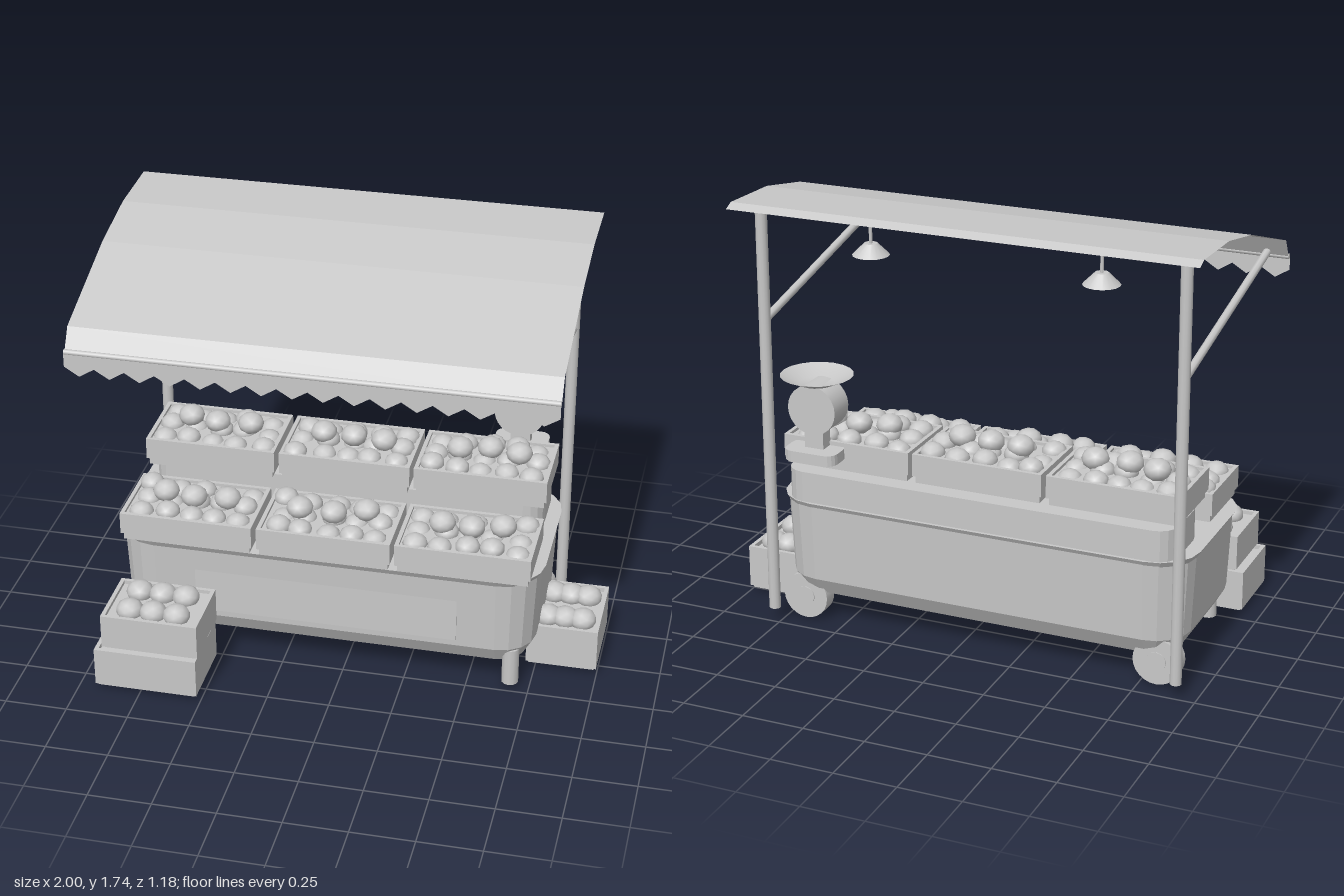
import * as THREE from 'three';
import { ConvexGeometry } from 'three/addons/geometries/ConvexGeometry.js';

const grey = new THREE.MeshStandardMaterial({ color: 0xc8c8c8, side: THREE.DoubleSide });
grey.name = 'plain grey';

// Small seeded generator for the fruit piles
let seed = 7;
const jitter = (a) => {
  seed = (seed * 16807) % 2147483647;
  return (seed / 2147483647 - 0.5) * 2 * a;
};

function add(parent, name, geometry, x = 0, y = 0, z = 0) {
  const mesh = new THREE.Mesh(geometry, grey);
  mesh.name = name;
  mesh.position.set(x, y, z);
  parent.add(mesh);
  return mesh;
}

const box = (parent, name, w, h, d, x, y, z) => add(parent, name, new THREE.BoxGeometry(w, h, d), x, y, z);

function rod(parent, name, a, b, r, sides = 12) {
  const from = new THREE.Vector3(...a), to = new THREE.Vector3(...b);
  const dir = to.clone().sub(from);
  const mesh = add(parent, name, new THREE.CylinderGeometry(r, r, dir.length(), sides));
  mesh.position.copy(from).lerp(to, 0.5);
  mesh.quaternion.setFromUnitVectors(new THREE.Vector3(0, 1, 0), dir.normalize());
  return mesh;
}

// Convex block with rounded corners; levels are [y, inset]
function roundedBlock(x0, x1, z0, z1, radius, levels) {
  const points = [];
  for (const [y, inset] of levels) {
    for (const sx of [0, 1]) for (const sz of [0, 1]) {
      const cx = sx ? x1 - radius : x0 + radius, cz = sz ? z1 - radius : z0 + radius;
      for (let i = 0; i <= 4; i++) {
        const a = (i / 4) * Math.PI / 2, r = radius - inset;
        points.push(new THREE.Vector3(cx + (sx ? 1 : -1) * r * Math.cos(a), y, cz + (sz ? 1 : -1) * r * Math.sin(a)));
      }
    }
  }
  return new ConvexGeometry(points);
}

const fruitGeometry = new THREE.IcosahedronGeometry(1, 1);
function fruit(parent, x, y, z, r) {
  const mesh = add(parent, 'fruit', fruitGeometry, x, y, z);
  mesh.scale.set(r, r * 0.82, r);
  mesh.rotation.y = jitter(3);
}

// Open crate with a raised rim and a fill layer; origin at the bottom centre
function crate(parent, name, w, h, d, x, y, z, lower) {
  const g = new THREE.Group();
  g.name = name;
  g.position.set(x, y, z);
  parent.add(g);
  const t = 0.016, wallY = h * (1 + lower) / 2, wallH = h * (1 - lower);
  box(g, 'crateBase', w - 0.02, h * lower, d - 0.02, 0, h * lower / 2, 0);
  for (const s of [-1, 1]) {
    box(g, 'crateLongWall', w, wallH, t, 0, wallY, s * (d - t) / 2);
    box(g, 'crateEndWall', t, wallH, d - 2 * t, s * (w - t) / 2, wallY, 0);
  }
  box(g, 'crateFill', w - 2 * t, h * 0.6, d - 2 * t, 0, h * 0.6, 0);
  return g;
}

function displayCrate(parent, x, y, z) {
  const g = crate(parent, 'displayCrate', 0.535, 0.12, 0.325, x, y, z, 0.25);
  for (let i = 0; i < 5; i++) for (let j = 0; j < 3; j++) {
    fruit(g, (i - 2) * 0.1 + jitter(0.012), 0.105 + jitter(0.014), (j - 1) * 0.1 + jitter(0.012), 0.05);
  }
  for (let i = -1; i <= 1; i++) fruit(g, 0.005 + i * 0.122 + jitter(0.01), 0.154, jitter(0.025), 0.054);
}

function storageCrate(parent, w, h, d, x, y, z, spacing, rowOffset) {
  const g = crate(parent, 'storageCrate', w, h, d, x, y, z, 0.06);
  for (let i = -1; i <= 1; i++) for (const s of [-1, 1]) {
    fruit(g, i * spacing, h, s * rowOffset, 0.055);
  }
}

// Sheet swept along x from a [z, y] profile, with flat panels
function sheet(profile, x0, x1) {
  const p = [];
  for (let i = 0; i < profile.length - 1; i++) {
    const [za, ya] = profile[i], [zb, yb] = profile[i + 1];
    p.push(x0, ya, za, x0, yb, zb, x1, yb, zb, x0, ya, za, x1, yb, zb, x1, ya, za);
  }
  const g = new THREE.BufferGeometry();
  g.setAttribute('position', new THREE.Float32BufferAttribute(p, 3));
  g.computeVertexNormals();
  return g;
}

export function createModel() {
  const stall = new THREE.Group();
  stall.name = 'marketStall';

  // Cart tub, flared rim, front panel and stepped shelf
  add(stall, 'cartTub', roundedBlock(-0.925, 0.772, -0.458, 0.27, 0.16,
    [[0.12, 0.055], [0.19, 0.015], [0.51, 0]]));
  add(stall, 'cartRim', roundedBlock(-0.94, 0.785, -0.468, 0.285, 0.17, [[0.497, 0.015], [0.523, 0]]));
  box(stall, 'frontPanel', 1.06, 0.26, 0.008, -0.07, 0.35, 0.261);
  add(stall, 'displayStep', roundedBlock(-0.88, 0.73, -0.455, -0.13, 0.08, [[0.52, 0], [0.648, 0]]));

  // Legs and wheels
  for (const x of [-0.815, 0.672]) {
    rod(stall, 'frontLeg', [x, 0.02, 0.205], [x, 0.18, 0.205], 0.034);
    rod(stall, 'wheel', [x, 0.095, -0.35], [x, 0.095, -0.414], 0.095, 24);
    rod(stall, 'wheelHub', [x, 0.095, -0.346], [x, 0.095, -0.418], 0.04, 12);
  }

  // Fruit crates on display
  for (const x of [-0.625, -0.07, 0.482]) {
    displayCrate(stall, x, 0.523, 0.132);
    displayCrate(stall, x, 0.655, -0.243);
  }

  // Crates on the ground
  crate(stall, 'lowerCrate', 0.415, 0.17, 0.3, -0.722, 0.015, 0.44, 0.06);
  storageCrate(stall, 0.39, 0.15, 0.285, -0.705, 0.187, 0.432, 0.095, 0.068);
  storageCrate(stall, 0.285, 0.185, 0.348, 0.855, 0.015, -0.11, 0.07, 0.086);

  // Posts and sloping struts
  for (const x of [-0.917, 0.776]) {
    rod(stall, 'post', [x, 0.055, -0.48], [x, 1.732, -0.48], 0.023);
    rod(stall, 'canopyStrut', [x, 1.267, -0.465], [x, 1.47, 0.48], 0.016, 8);
  }

  // Canopy sheet, front rail and zigzag valance
  add(stall, 'canopy', sheet([[-0.59, 1.722], [-0.55, 1.74], [-0.27, 1.731], [0, 1.68],
    [0.45, 1.535], [0.5, 1.45]], -1, 0.863));
  rod(stall, 'canopyRail', [-1, 1.455, 0.505], [0.863, 1.455, 0.505], 0.011, 10);
  const valance = new THREE.Shape();
  const teeth = 16, step = 1.863 / teeth;
  valance.moveTo(-1, 1.45);
  valance.lineTo(-1, 1.398);
  for (let i = 0; i < teeth; i++) {
    valance.lineTo(-1 + (i + 0.5) * step, 1.362);
    valance.lineTo(-1 + (i + 1) * step, 1.398);
  }
  valance.lineTo(0.863, 1.45);
  add(stall, 'valance', new THREE.ShapeGeometry(valance), 0, 0, 0.515);

  // Hanging lamps
  for (const x of [-0.535, 0.4]) {
    rod(stall, 'lampRod', [x, 1.56, -0.315], [x, 1.695, -0.315], 0.007, 8);
    add(stall, 'lampShade', new THREE.CylinderGeometry(0.026, 0.072, 0.046, 16), x, 1.547, -0.315);
  }

  // Weighing scale
  const scale = new THREE.Group();
  scale.name = 'weighingScale';
  scale.position.set(0.59, 0, -0.42);
  stall.add(scale);
  add(scale, 'scaleBase', roundedBlock(-0.11, 0.11, -0.1, 0.03, 0.04, [[0.715, 0], [0.758, 0]]));
  box(scale, 'scaleNeck', 0.08, 0.09, 0.06, 0, 0.795, -0.01);
  rod(scale, 'scaleDrum', [0, 0.92, 0.062], [0, 0.92, -0.055], 0.101, 24);
  add(scale, 'scalePan', new THREE.LatheGeometry(
    [[0, 1.014], [0.07, 1.016], [0.143, 1.05]].map(([r, y]) => new THREE.Vector2(r, y)), 20));

  return stall;
}
